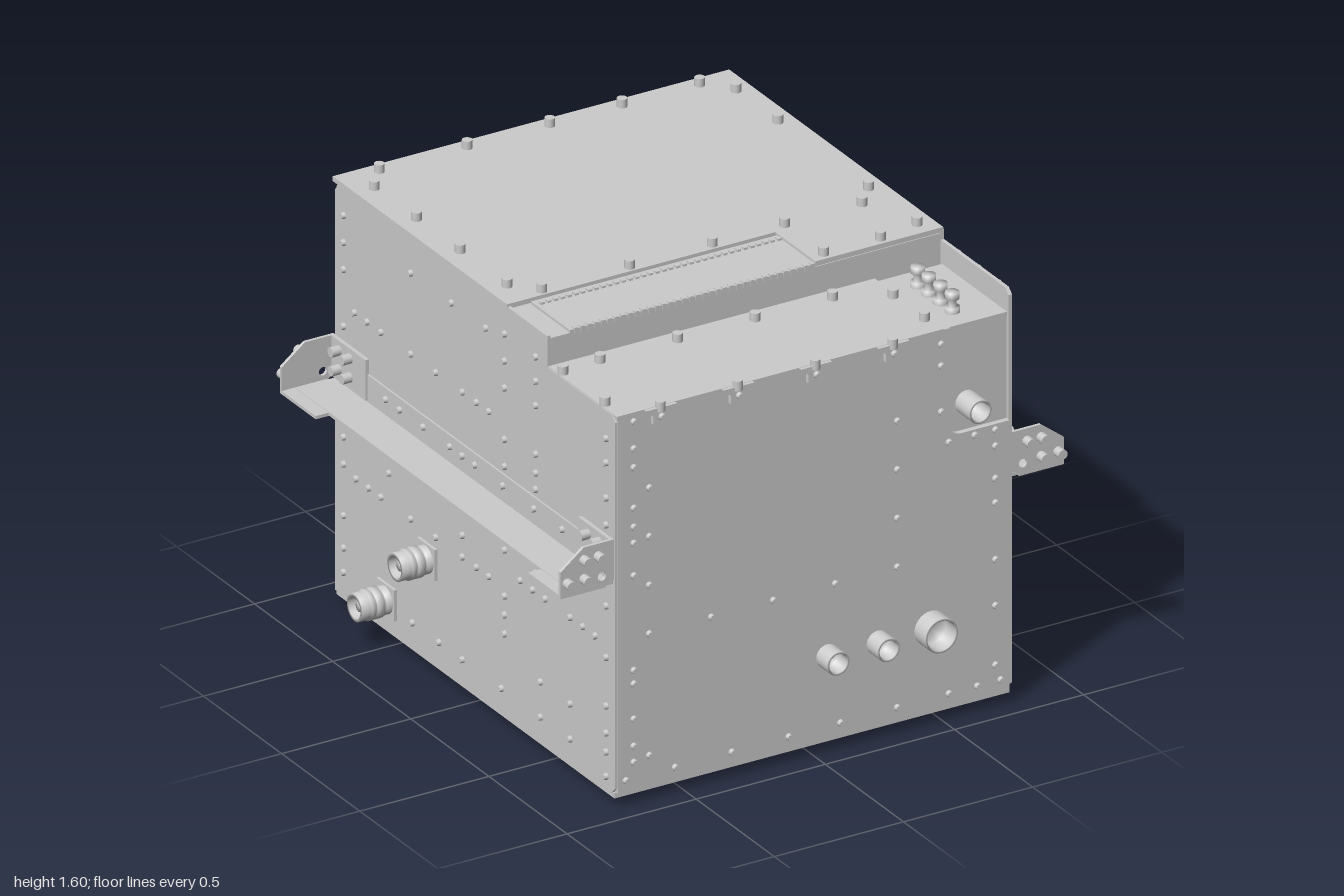
import * as THREE from 'three';
import { mergeGeometries } from 'three/addons/utils/BufferGeometryUtils.js';

const grey = new THREE.MeshStandardMaterial({ color: 0xcccccc, side: THREE.DoubleSide });
const UP = new THREE.Vector3(0, 1, 0);

export function createModel() {
  const root = new THREE.Group();
  const add = (name, geo) => {
    const m = new THREE.Mesh(geo, grey);
    m.name = name;
    root.add(m);
    return m;
  };
  // box given by its min and max corners
  const box = (x0, x1, y0, y1, z0, z1) =>
    new THREE.BoxGeometry(x1 - x0, y1 - y0, z1 - z0).translate((x0 + x1) / 2, (y0 + y1) / 2, (z0 + z1) / 2);
  const shapeOf = pts => new THREE.Shape(pts.map(p => new THREE.Vector2(p[0], p[1])));
  const extrude = (shape, depth) => new THREE.ExtrudeGeometry(shape, { depth, bevelEnabled: false, curveSegments: 8 });
  // side profile in (z, y), extruded from x0 to x1
  const sideSlab = (pts, x0, x1) =>
    extrude(shapeOf(pts.map(([z, y]) => [-z, y])), x1 - x0).rotateY(Math.PI / 2).translate(x0, 0, 0);
  // copies of an upright part, turned to point along dir
  const scatter = (name, geo, dir, pts) => {
    const q = new THREE.Quaternion().setFromUnitVectors(UP, new THREE.Vector3(...dir));
    return add(name, mergeGeometries(pts.map(p => geo.clone().applyQuaternion(q).translate(...p))));
  };
  const lathe = pts => new THREE.LatheGeometry(pts.map(p => new THREE.Vector2(p[0], p[1])), 28);
  const rivet = new THREE.CylinderGeometry(0.010, 0.013, 0.015, 10).translate(0, 0.006, 0);
  const bolt = new THREE.CylinderGeometry(0.018, 0.018, 0.036, 12).translate(0, 0.016, 0);

  // inner box, stepped down at the front
  add('core', sideSlab([[-0.85, 0.05], [0.91, 0.05], [0.91, 1.44], [0.49, 1.44], [0.49, 1.555], [-0.85, 1.555]], -0.755, 0.755));

  // side panels; the left one rises higher beside the front corner
  const sidePanel = frontTop => [
    [-0.87, 0.05], [0.90, 0.05], [0.925, 0.075], [0.925, frontTop - 0.02], [0.905, frontTop],
    [0.49, frontTop], [0.49, 1.565], [-0.84, 1.565], [-0.87, 1.53]];
  add('leftPanel', sideSlab(sidePanel(1.53), 0.755, 0.768));
  add('rightPanel', sideSlab(sidePanel(1.45), -0.768, -0.755));

  // front cover with a rounded cut-out at the upper corner
  const front = new THREE.Shape();
  front.moveTo(-0.76, 0.055);
  front.lineTo(0.755, 0.055);
  front.lineTo(0.755, 1.05);
  front.lineTo(0.57, 1.05);
  front.quadraticCurveTo(0.525, 1.05, 0.525, 1.095);
  front.lineTo(0.525, 1.45);
  front.lineTo(-0.76, 1.45);
  add('frontCover', extrude(front, 0.02).translate(0, 0, 0.91));
  add('cornerTopPlate', box(0.5, 0.755, 1.43, 1.445, 0.5, 0.915));
  add('frontTopCover', box(-0.765, 0.5, 1.437, 1.453, 0.49, 0.93));

  // rear top cover with a notch for the vent strip
  const top = shapeOf([[-0.77, 0.88], [0.765, 0.88], [0.765, -0.49], [0.27, -0.49], [0.27, -0.235], [-0.77, -0.235]]);
  add('topCover', extrude(top, 0.018).rotateX(-Math.PI / 2).translate(0, 1.557, 0));
  add('ventPlate', box(-0.68, 0.27, 1.55, 1.565, 0.24, 0.49));
  const teeth = [];
  for (let i = 0; i < 36; i++) {
    const x = -0.665 + i * 0.0262;
    teeth.push(box(x, x + 0.015, 1.56, 1.573, 0.262, 0.28), box(x, x + 0.015, 1.55, 1.57, 0.475, 0.493));
  }
  add('ventTeeth', mergeGeometries(teeth));
  add('bottomCover', box(-0.765, 0.765, 0.035, 0.055, -0.865, 0.915));

  // rear bands: upper and lower stand proud with rounded lips, middle sits back
  const band = (y0, y1) => sideSlab([[-0.84, y0], [-0.865, y0 + 0.008], [-0.88, y0 + 0.03],
    [-0.88, y1 - 0.03], [-0.865, y1 - 0.008], [-0.84, y1]], -0.755, 0.755);
  add('upperRearBand', band(1.12, 1.565));
  add('lowerRearBand', band(0.045, 0.5));
  add('middleRearPanel', box(-0.73, 0.73, 0.53, 1.09, -0.86, -0.84));

  // carrying rails and corner brackets on both sides
  for (const s of [1, -1]) {
    const side = s > 0 ? 'left' : 'right';
    const sbox = (a, b, ...r) => box(Math.min(a * s, b * s), Math.max(a * s, b * s), ...r);
    add(side + 'Rail', mergeGeometries([
      sbox(0.765, 0.775, 0.83, 0.94, -0.86, 0.91),
      sbox(0.765, 0.925, 0.828, 0.84, -0.86, 0.91)]));
    for (const e of [1, -1]) {
      const zEnd = e > 0 ? 0.905 : -0.88, zIn = e > 0 ? 0.71 : -0.65;
      const z0 = Math.min(zEnd, zIn), z1 = Math.max(zEnd, zIn) + (e > 0 ? 0.012 : 0);
      const plate = shapeOf([[0.77, 0.86], [0.80, 0.83], [0.975, 0.83], [0.975, 0.925], [0.885, 0.995], [0.77, 0.995]]
        .map(([x, y]) => [x * s, y]));
      const hole = new THREE.Path();
      hole.absarc(0.815 * s, 0.87, 0.016, 0, Math.PI * 2);
      plate.holes.push(hole);
      add(side + (e > 0 ? 'Front' : 'Rear') + 'BracketEnd', extrude(plate, 0.012).translate(0, 0, zEnd));
      add(side + (e > 0 ? 'Front' : 'Rear') + 'Bracket', mergeGeometries([
        sbox(0.80, 0.975, 0.826, 0.838, z0, z1),
        sbox(0.768, 0.782, 0.845, 0.995, z0, z1)]));
      const face = e > 0 ? zEnd + 0.012 : zEnd;
      scatter('bracketBolts', bolt, [0, 0, e], [[0.83, 0.95], [0.885, 0.95], [0.95, 0.88], [0.885, 0.88]].map(([x, y]) => [x * s, y, face]));
      scatter('bracketSideBolts', bolt, [s, 0, 0], [0.06, 0.13].flatMap(d => [0.89, 0.96].map(y => [0.782 * s, y, zEnd - e * d])));
    }
  }

  // ribbed connectors on square flanges
  const connector = lathe([[0.05, 0], [0.05, 0.022], [0.04, 0.025], [0.04, 0.035], [0.055, 0.038], [0.055, 0.06],
    [0.047, 0.063], [0.047, 0.07], [0.055, 0.073], [0.055, 0.088], [0.05, 0.092], [0.05, 0.125],
    [0.038, 0.125], [0.038, 0.06], [0.018, 0.06], [0.018, 0.11], [0, 0.11]]);
  const flange = new THREE.BoxGeometry(0.115, 0.014, 0.115);
  const rear = [[0.52, 1.39], [0.26, 1.39], [-0.23, 1.39], [-0.49, 1.39],
    [0.52, 0.32], [0.26, 0.32], [-0.03, 0.32], [-0.15, 0.15]].map(([x, y]) => [x, y, -0.878]);
  scatter('rearConnectors', connector, [0, 0, -1], rear);
  scatter('rearFlanges', flange, [0, 0, -1], rear);
  const sideSpots = [[-0.772, 0.42, -0.27], [-0.772, 0.16, -0.53]];
  scatter('sideConnectors', connector, [-1, 0, 0], sideSpots);
  scatter('sideFlanges', flange, [-1, 0, 0], sideSpots);

  // plain tubular sockets
  const socket = (r, h) => lathe([[r, 0], [r, h], [r - 0.008, h], [r - 0.008, 0.01], [0, 0.01]]);
  scatter('frontSockets', socket(0.043, 0.073), [0, 0, 1], [[0.05, 0.36, 0.927], [0.245, 0.36, 0.927]]);
  scatter('largeFrontSocket', socket(0.063, 0.073), [0, 0, 1], [[0.45, 0.36, 0.927]]);
  scatter('cornerSocket', socket(0.043, 0.09), [0, 0, 1], [[0.6, 1.15, 0.91]]);
  scatter('rearSocket', socket(0.062, 0.085), [0, 0, -1], [[0.55, 0.975, -0.857]]);

  // terminal posts on the corner plate
  const post = lathe([[0.026, 0], [0.026, 0.02], [0.014, 0.02], [0.014, 0.05], [0.024, 0.05], [0.024, 0.075], [0, 0.075]]);
  scatter('terminalPosts', post, [0, 1, 0], [0.6, 0.67, 0.745, 0.82].map(z => [0.6, 1.445, z]));

  // expands rows [fixed, [values]] into pairs
  const cols = list => list.flatMap(([a, bs]) => bs.map(b => [a, b]));
  const rows = list => list.flatMap(([b, as]) => as.map(a => [a, b]));

  // cover bolts, above and below
  scatter('topBolts', bolt, [0, 1, 0], [
    ...rows([[-0.83, [-0.62, -0.28, 0.04, 0.32, 0.62]], [0.21, [-0.62, -0.28, 0.04, 0.32, 0.62]], [0.46, [0.32, 0.54]]]),
    ...cols([[-0.7, [-0.73, -0.46, -0.18, 0.12]], [0.7, [-0.73, -0.46, 0.12, 0.43]]])].map(([x, z]) => [x, 1.572, z]));
  scatter('frontTopBolts', bolt, [0, 1, 0], [
    ...rows([[0.55, [-0.6, -0.3, 0, 0.3]]]), [-0.75, 0.56], [-0.75, 0.83], [0.48, 0.64], [0.48, 0.84]].map(([x, z]) => [x, 1.45, z]));
  scatter('bottomBolts', bolt, [0, -1, 0], [
    ...rows([[-0.8, [-0.6, -0.3, -0.02, 0.3, 0.58]], [0.38, [-0.6, -0.3, -0.02, 0.3, 0.52]]]),
    ...cols([[-0.7, [-0.64, -0.35, -0.1, 0.12]], [0.7, [-0.64, -0.35, -0.1, 0.12]]])].map(([x, z]) => [x, 0.035, z]));

  // bent tabs over the front edge, each with a bolt
  for (const x of [-0.6, -0.3, 0, 0.3]) {
    const tab = shapeOf([[-0.06, 1.452], [-0.032, 1.425], [-0.032, 1.395], [0.032, 1.395], [0.032, 1.425], [0.06, 1.452]]);
    add('frontTab', extrude(tab, 0.014).translate(x, 0, 0.93));
    scatter('tabBolt', rivet, [0, 0, 1], [[x, 1.42, 0.944]]);
    scatter('tabTopBolt', bolt, [0, 1, 0], [[x, 1.44, 0.935]]);
  }

  // rivets on the side panels
  const sideRivets = [
    ...rows([[1.51, [0.83, 0.7, 0.57]], [1.43, [0.1, -0.12, -0.38]],
      [1.13, [0.12, 0.04, -0.05, -0.22, -0.38, -0.57, -0.66, -0.74]], [0.9, [0.6, 0.04, -0.04, -0.12, -0.29, -0.44, -0.53]],
      [0.75, [-0.1, -0.3]], [0.59, [0.8, 0.72, 0.64, 0.48, 0.4, 0.32]],
      [0.52, [0.12, 0.04, -0.05, -0.22, -0.38, -0.57, -0.65, -0.73]], [0.27, [0.64, 0.45]],
      [0.14, [0.64, 0.45, 0.2, -0.05, -0.2, -0.37, -0.62]]]),
    ...cols([[0.87, [1.35, 1.26, 1.13, 1.03, 0.73, 0.54, 0.36, 0.26, 0.19, 0.1]],
      [0.42, [1.46, 1.37, 1.28, 1.1, 1.03, 0.97, 0.9, 0.76, 0.66]],
      [0.22, [1.46, 1.36, 1.26, 1.07, 0.97, 0.9, 0.76, 0.66, 0.49, 0.42, 0.35]],
      [-0.05, [0.71, 0.6]], [-0.52, [0.71, 0.63]],
      [-0.81, [1.46, 1.36, 1.26, 1.05, 0.75, 0.64, 0.54, 0.35, 0.23, 0.14]]])];
  for (const s of [1, -1]) {
    scatter(s > 0 ? 'leftRivets' : 'rightRivets', rivet, [s, 0, 0], sideRivets
      .filter(([, y]) => s > 0 || y < 1.5).map(([z, y]) => [s * (y > 0.83 && y < 0.94 ? 0.775 : 0.768), y, z]));
  }

  // rivets on the front and rear
  scatter('frontRivets', rivet, [0, 0, 1], [
    ...cols([[-0.7, [1.42, 1.32, 1.25, 1.1, 1.03, 0.97, 0.85, 0.5, 0.45, 0.32, 0.22, 0.16]], [-0.64, [1.16, 0.98, 0.8, 0.17]],
      [0.7, [0.97, 0.85, 0.76, 0.55, 0.38, 0.16]], [0.32, [1.16, 0.98, 0.8]], [0.49, [1.4, 1.32, 1.15]]]),
    ...rows([[0.1, [-0.73, -0.54, -0.32, -0.1, 0.1, 0.32, 0.52, 0.63, 0.72]], [0.62, [-0.64, -0.4, -0.16, 0.08, 0.32]],
      [1.03, [0.52, 0.62, 0.7]]])].map(([x, y]) => [x, y, 0.93]));
  scatter('rearRivets', rivet, [0, 0, -1], [
    ...cols([-0.71, 0.71].map(x => [x, [0.1, 0.2, 0.3, 0.42, 0.6, 0.75, 1.05, 1.2, 1.3, 1.4, 1.5]])),
    ...rows([[0.1, [-0.5, -0.3, 0.1, 0.4]], [0.42, [-0.6, -0.35, 0.1]], [1.2, [0, 0.05]]])]
    .map(([x, y]) => [x, y, y > 0.52 && y < 1.1 ? -0.86 : -0.88]));
  return root;
}
